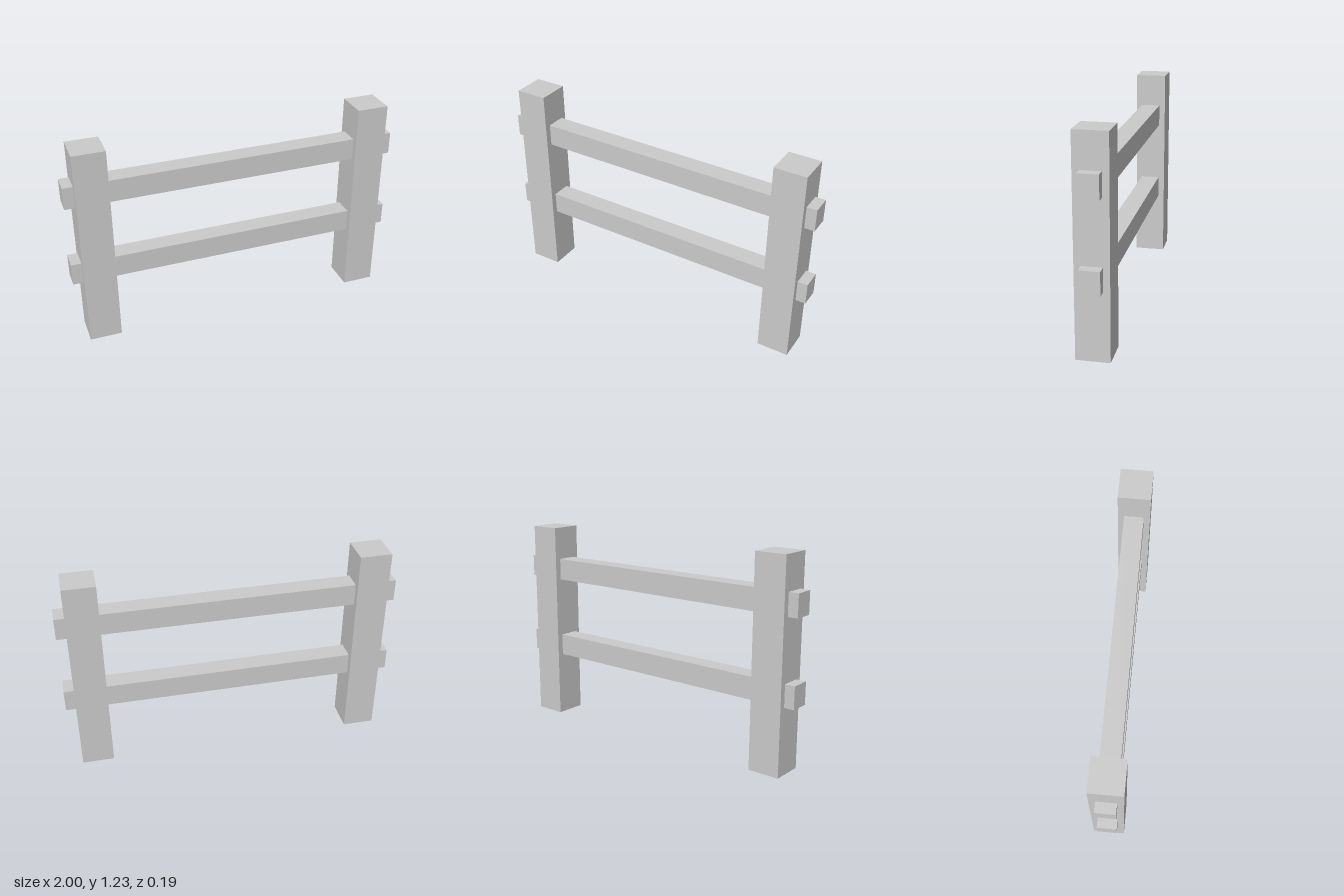
import * as THREE from 'three';

// Two-rail fence section: square posts with rails passing through them.
export function createModel() {
  const fence = new THREE.Group();
  fence.name = 'fence';
  const material = new THREE.MeshStandardMaterial({ color: 0xcccccc, flatShading: true });

  const addBeam = (name, size, x, y) => {
    const beam = new THREE.Mesh(new THREE.BoxGeometry(...size), material);
    beam.name = name;
    beam.position.set(x, y, 0);
    fence.add(beam);
  };

  // Upright posts
  const postHeight = 1.23;
  for (const [name, side] of [['leftPost', 1], ['rightPost', -1]]) {
    addBeam(name, [0.19, postHeight, 0.19], side * 0.845, postHeight / 2);
  }

  // Horizontal rails, their ends showing beyond the posts
  for (const [name, y] of [['lowerRail', 0.463], ['upperRail', 0.963]]) {
    addBeam(name, [2, 0.133, 0.116], 0, y);
  }

  return fence;
}
